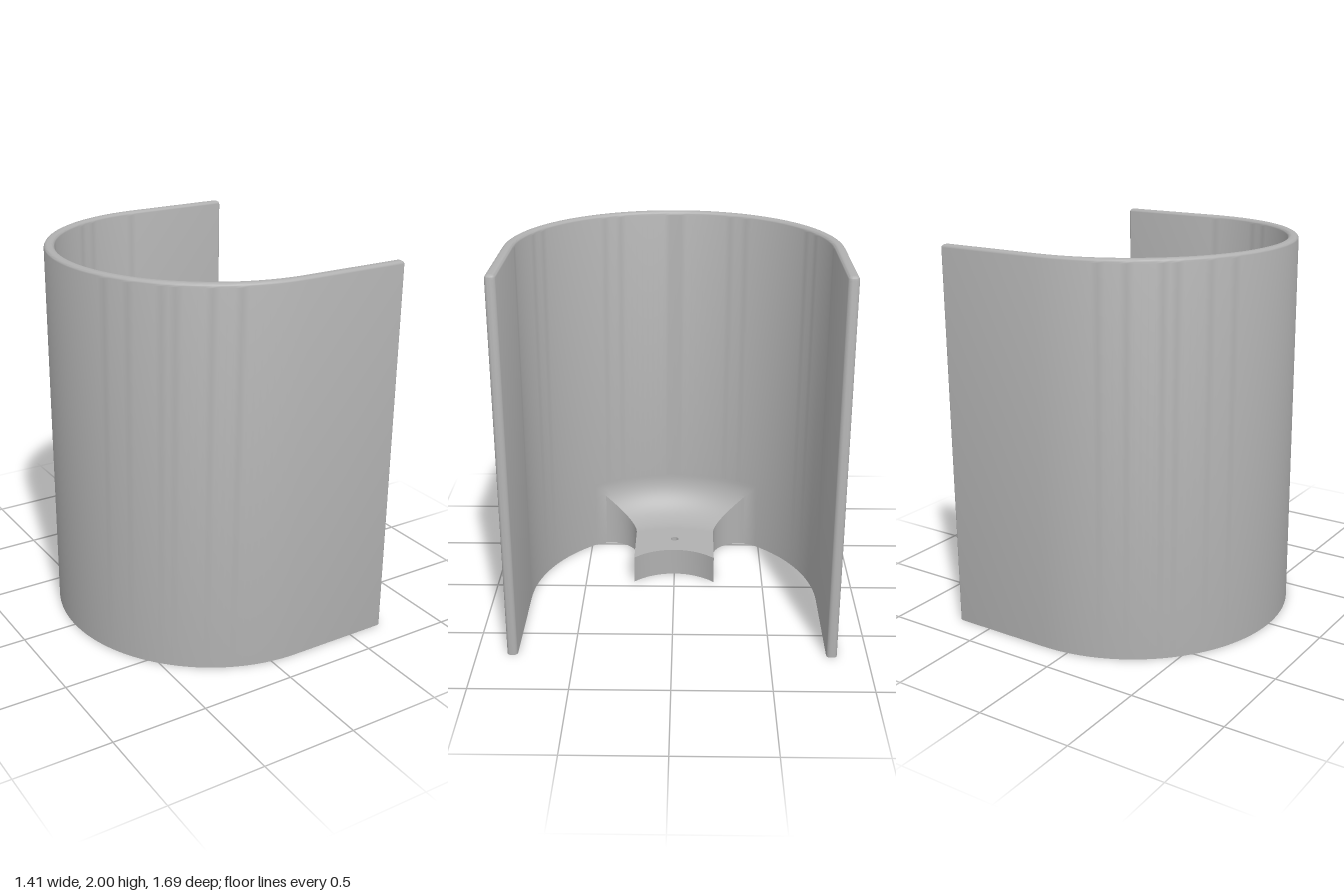
import * as THREE from 'three';
import { toCreasedNormals } from 'three/addons/utils/BufferGeometryUtils.js';

const CX = 0.14;            // x of the curved wall's axis
const R_OUT = 0.845, R_IN = 0.79, END_X = 0.705, HEIGHT = 2;
const EDGE = 0.022;         // rounding of the wall's edges
const FOOT_H = 0.155, FOOT_HALF = 0.225;
const SIDE_R = 0.16;        // fillet between foot sides and wall

// Joins closed loops of Vector3 with quads; optionally caps both ends (flat in y)
function loft(loops, capped) {
  const n = loops[0].length, pos = loops.flat().flatMap(p => [p.x, p.y, p.z]), idx = [];
  for (let k = 0; k < loops.length - 1; k++) {
    for (let i = 0; i < n; i++) {
      const j = (i + 1) % n, a = k * n + i, b = k * n + j;
      idx.push(a, b, b + n, a, b + n, a + n);
    }
  }
  if (capped) {
    const top = (loops.length - 1) * n;
    const flat = loop => loop.map(p => new THREE.Vector2(p.x, -p.z));
    for (const [a, b, c] of THREE.ShapeUtils.triangulateShape(flat(loops[0]), [])) idx.push(a, c, b);
    for (const [a, b, c] of THREE.ShapeUtils.triangulateShape(flat(loops.at(-1)), []))
      idx.push(top + a, top + b, top + c);
  }
  const g = new THREE.BufferGeometry();
  g.setAttribute('position', new THREE.Float32BufferAttribute(pos, 3));
  g.setIndex(idx);
  return toCreasedNormals(g, 0.5);
}

// Points along a circular arc in plan
function arc(cx, cy, r, from, to, steps) {
  return Array.from({ length: steps + 1 }, (_, i) => {
    const a = from + (to - from) * i / steps;
    return new THREE.Vector2(cx + r * Math.cos(a), cy + r * Math.sin(a));
  });
}

// U-shaped wall outline, shrunk inwards by d, at height y
function wallLoop(d, y) {
  const q = Math.PI / 2, c = EDGE - d, ex = END_X - EDGE;
  return [
    ...arc(CX, 0, R_OUT - d, q, 3 * q, 80),
    ...arc(ex, -R_OUT + EDGE, c, -q, 0, 5),
    ...arc(ex, -R_IN - EDGE, c, 0, q, 5),
    ...arc(CX, 0, R_IN + d, 3 * q, q, 80),
    ...arc(ex, R_IN + EDGE, c, -q, 0, 5),
    ...arc(ex, R_OUT - EDGE, c, 0, q, 5),
  ].map(p => new THREE.Vector3(p.x, y, -p.y));
}

function wallGeometry() {
  const r = 0.02, loops = [wallLoop(0, 0)];
  for (let i = 0; i <= 5; i++) {
    const a = i / 5 * Math.PI / 2;
    loops.push(wallLoop(r * (1 - Math.cos(a)), HEIGHT - r + r * Math.sin(a)));
  }
  return loft(loops, true);
}

// Centre of the side fillet: tangent to the foot's side and to the inner wall
const sideZ = FOOT_HALF + SIDE_R;
const sideX = CX - Math.sqrt((R_IN - SIDE_R) ** 2 - sideZ ** 2);
const rhoStart = Math.hypot(sideX - CX, FOOT_HALF);
const topR = R_IN - rhoStart;   // fillet from foot top up to the wall

// Flat foot with a scooped tip and a screw hole
function footGeometry() {
  const tip = Math.asin(FOOT_HALF / 0.314), back = Math.asin(FOOT_HALF / rhoStart);
  const shape = new THREE.Shape([
    ...arc(0.169, 0, 0.314, Math.PI + tip, Math.PI - tip, 24),
    ...arc(CX, 0, rhoStart, Math.PI - back, Math.PI + back, 24),
  ]);
  shape.holes.push(new THREE.Path().absarc(-0.28, 0, 0.022, 0, Math.PI * 2, true));
  const g = new THREE.ExtrudeGeometry(shape, { depth: FOOT_H, bevelEnabled: false, curveSegments: 16 });
  g.rotateX(-Math.PI / 2);
  return toCreasedNormals(g, 0.5);
}

// Flared root: arcs about the wall's axis, widening along the side fillet and rising up the wall
function rootGeometry() {
  const steps = 28, across = 24, loops = [];
  const endAngle = Math.PI / 2 + Math.atan2(sideZ, CX - sideX);
  for (let k = 0; k <= steps; k++) {
    const a = endAngle * k / steps;
    const x = sideX - SIDE_R * Math.sin(a), z = sideZ - SIDE_R * Math.cos(a);
    const rho = Math.min(R_IN, Math.hypot(x - CX, z)), half = Math.atan2(z, CX - x);
    const y = FOOT_H + topR - Math.sqrt(Math.max(0, topR ** 2 - (rho - rhoStart) ** 2));
    const row = (h, dir) => Array.from({ length: across + 1 }, (_, i) => {
      const t = dir * half * (2 * i / across - 1);
      return new THREE.Vector3(CX - rho * Math.cos(t), h, rho * Math.sin(t));
    });
    loops.push([...row(0, 1), ...row(y, -1)]);
  }
  return loft(loops, false);
}

export function createModel() {
  const grey = new THREE.MeshStandardMaterial({ color: 0xb0b0b0 });
  grey.name = 'grey';
  const model = new THREE.Group();
  model.name = 'curvedHolder';
  const add = (name, geometry) => {
    const mesh = new THREE.Mesh(geometry, grey);
    mesh.name = name;
    model.add(mesh);
  };
  add('curvedWall', wallGeometry());
  add('mountingFoot', footGeometry());
  add('footFillet', rootGeometry());
  return model;
}
